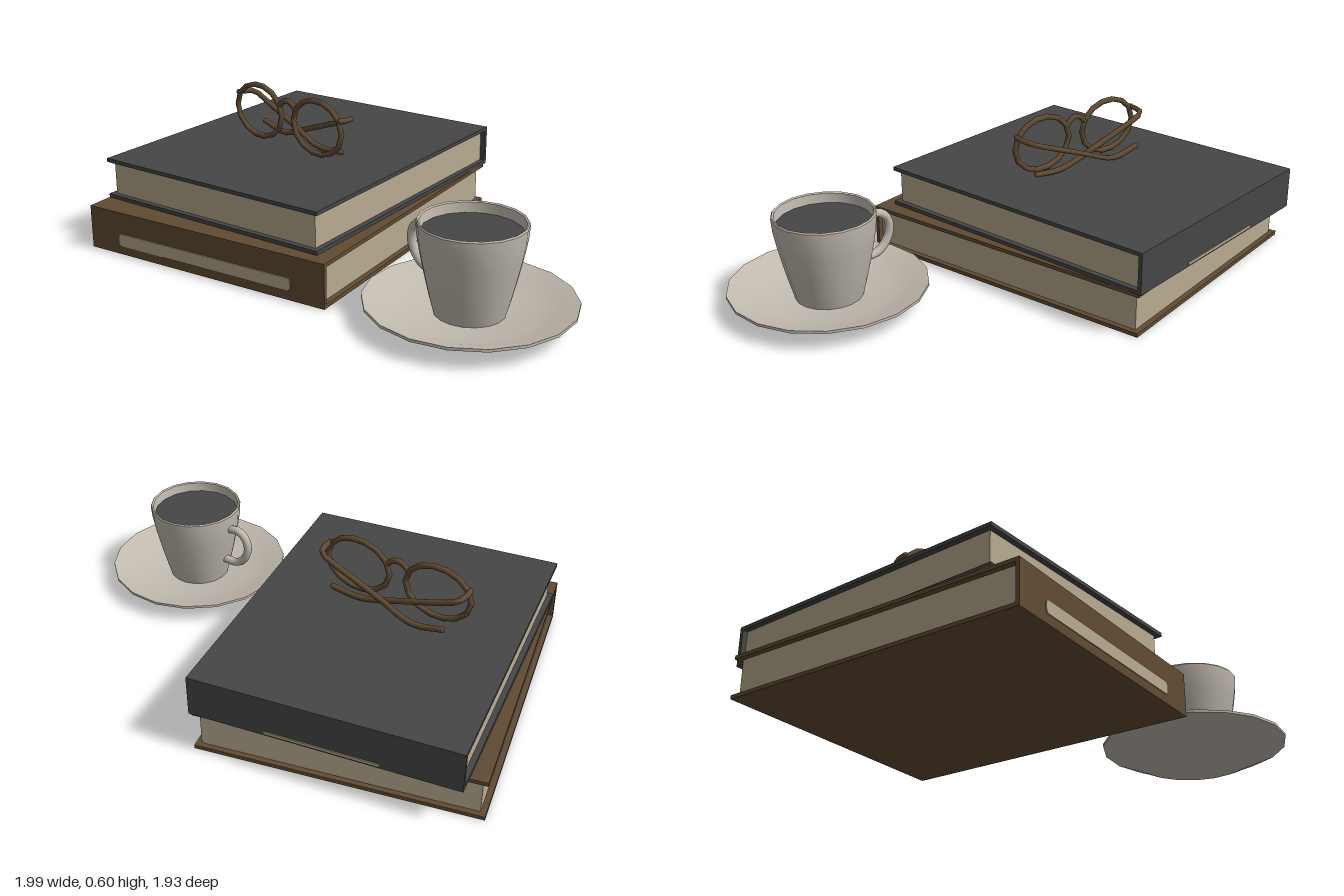
import * as THREE from 'three';
import { toCreasedNormals } from 'three/addons/utils/BufferGeometryUtils.js';

const flat = (name, color) => {
  const m = new THREE.MeshStandardMaterial({ color });
  m.name = name;
  return m;
};
const brown = flat('brown leather', 0x614c33);
const charcoal = flat('charcoal', 0x464646);
const paper = flat('paper', 0xb8ab90);
const china = flat('china', 0xc2bbb0);

function add(parent, name, geometry, material, x = 0, y = 0, z = 0) {
  const mesh = new THREE.Mesh(geometry, material);
  mesh.name = name;
  mesh.position.set(x, y, z);
  parent.add(mesh);
  return mesh;
}

// Thin plate with rounded ends, facing +z
function labelPlate(w, h) {
  const r = h * 0.3, x = w / 2, y = h / 2;
  const s = new THREE.Shape();
  s.moveTo(-x + r, -y);
  s.lineTo(x - r, -y).quadraticCurveTo(x, -y, x, -y + r);
  s.lineTo(x, y - r).quadraticCurveTo(x, y, x - r, y);
  s.lineTo(-x + r, y).quadraticCurveTo(-x, y, -x, y - r);
  s.lineTo(-x, -y + r).quadraticCurveTo(-x, -y, -x + r, -y);
  return new THREE.ExtrudeGeometry(s, { depth: 0.004, bevelEnabled: false, curveSegments: 3 });
}

// Book with its spine on the local +z side
function book(name, w, h, d, cover, label) {
  const g = new THREE.Group();
  g.name = name;
  const t = 0.016, inset = 0.022;
  add(g, 'bottomCover', new THREE.BoxGeometry(w, t, d), cover, 0, t / 2, 0);
  add(g, 'topCover', new THREE.BoxGeometry(w, t, d), cover, 0, h - t / 2, 0);
  add(g, 'spine', new THREE.BoxGeometry(w, h - 2 * t, t), cover, 0, h / 2, d / 2 - t / 2);
  add(g, 'pages', new THREE.BoxGeometry(w - 2 * inset, h - 2 * t, d - inset - t),
    paper, 0, h / 2, (inset - t) / 2);
  add(g, 'spineLabel', labelPlate(label.w, label.h), paper, 0, label.y, d / 2);
  return g;
}

const lathe = (pts) => toCreasedNormals(
  new THREE.LatheGeometry(pts.map(([x, y]) => new THREE.Vector2(x, y)), 18), 0.42);

function cupAndSaucer() {
  const g = new THREE.Group();
  g.name = 'cupAndSaucer';
  add(g, 'saucer', lathe([[0, 0], [0.232, 0], [0.25, 0.008], [0.32, 0.042], [0.39, 0.073],
    [0.39, 0.084], [0.32, 0.062], [0.24, 0.032], [0, 0.03]]), china);
  add(g, 'cup', lathe([[0, 0.03], [0.132, 0.03], [0.148, 0.09], [0.167, 0.17], [0.186, 0.26],
    [0.196, 0.32], [0.2, 0.374], [0.196, 0.38], [0.189, 0.376], [0.183, 0.32],
    [0.155, 0.17], [0.12, 0.07], [0, 0.06]]), china);
  add(g, 'coffee', new THREE.CylinderGeometry(0.184, 0.182, 0.008, 18), charcoal, 0, 0.334, 0);

  // Handle loop, flattened sideways and turned toward the back right
  const path = new THREE.CatmullRomCurve3([[0.185, 0.305], [0.235, 0.31], [0.276, 0.278],
    [0.284, 0.225], [0.262, 0.175], [0.22, 0.142], [0.155, 0.14]]
    .map(([x, y]) => new THREE.Vector3(x, y, 0)));
  const handle = add(g, 'cupHandle', new THREE.TubeGeometry(path, 16, 0.018, 8), china);
  handle.rotation.y = Math.PI - 0.51;
  return g;
}

// Local x runs along the frame, local -z is behind the lenses
function glasses() {
  const g = new THREE.Group();
  g.name = 'glasses';
  const tube = (name, pts, segs, closed = false) => {
    const curve = new THREE.CatmullRomCurve3(pts.map((p) => new THREE.Vector3(...p)), closed, 'centripetal');
    add(g, name, new THREE.TubeGeometry(curve, segs, 0.012, 6, closed), brown);
    if (closed) return;
    // Rounded tips close the open tube
    for (const p of [pts[0], pts[pts.length - 1]]) {
      add(g, name + 'Tip', new THREE.SphereGeometry(0.012, 6, 4), brown, ...p);
    }
  };
  for (const s of [-1, 1]) {
    const ring = Array.from({ length: 14 }, (_, i) => {
      const a = (i / 14) * Math.PI * 2;
      return [s * 0.18 + 0.144 * Math.cos(a), 0.475 + 0.112 * Math.sin(a), 0];
    });
    tube(s > 0 ? 'leftRim' : 'rightRim', ring, 14, true);
    const back = s > 0 ? 0.1 : 0.062; // folded arms lie one behind the other
    const tip = s > 0 ? 0.39 : 0.374;
    tube(s > 0 ? 'leftArm' : 'rightArm', [[s * 0.316, 0.53, 0], [s * 0.318, 0.528, -0.03],
      [s * 0.302, 0.522, -0.078], [s * 0.27, 0.508, -0.082],
      [s * 0.02, 0.415, -(0.08 + back) / 2], [s * -0.09, 0.374, -back],
      [s * -0.15, 0.366, -back], [s * -0.26, tip, -back]], 20);
  }
  tube('bridge', [[-0.047, 0.525, 0], [-0.025, 0.545, 0], [0, 0.553, 0],
    [0.025, 0.545, 0], [0.047, 0.525, 0]], 6);
  return g;
}

export function createModel() {
  const model = new THREE.Group();
  model.name = 'readingStillLife';

  const lower = book('lowerBook', 1.13, 0.18, 1.317, brown, { w: 0.83, h: 0.052, y: 0.063 });
  lower.position.set(-0.28, 0, -0.135);
  lower.rotation.y = -0.268;

  // The upper book lies with its spine to the back
  const upper = book('upperBook', 1.066, 0.17, 1.278, charcoal, { w: 0.45, h: 0.012, y: 0.013 });
  upper.position.set(-0.26, 0.18, -0.195);
  upper.rotation.y = Math.PI - 0.325;

  const cup = cupAndSaucer();
  cup.position.set(0.61, 0, 0.574);

  const specs = glasses();
  specs.position.set(-0.305, 0, -0.105);
  specs.rotation.y = -0.51;

  model.add(lower, upper, cup, specs);
  return model;
}
